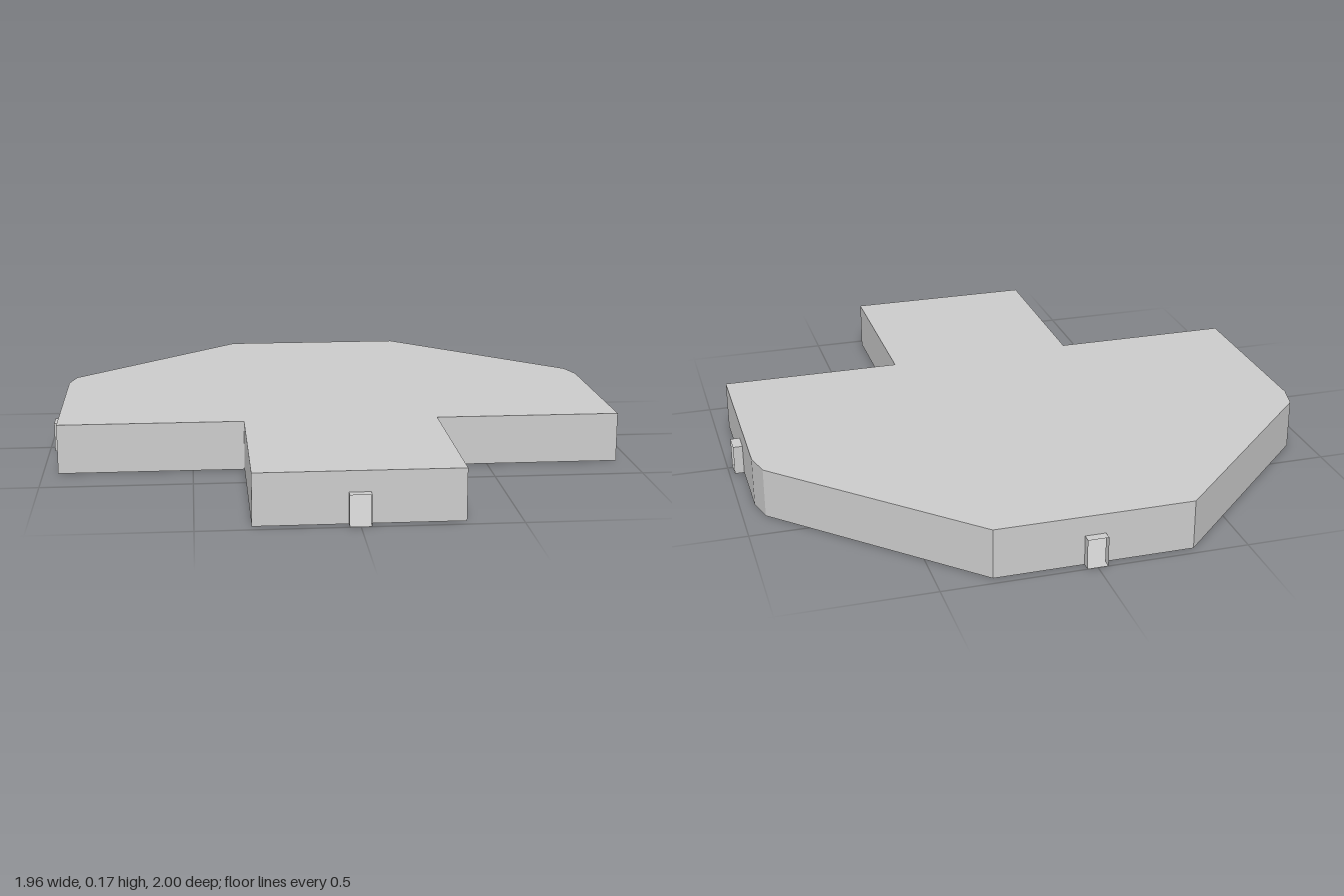
import * as THREE from 'three';

const HEIGHT = 0.167, PORT_W = 0.068, PORT_H = 0.1;

// Outline as [x, z], running so that every wall faces outward
const OUTLINE = [
  [-0.327, 0.967], [0.327, 0.967], [0.327, 0.34], [0.95, 0.34],
  [0.95, -0.29], [0.927, -0.38], [0.327, -0.97], [-0.327, -0.97],
  [-0.927, -0.38], [-0.95, -0.29], [-0.95, 0.34], [-0.327, 0.34],
].map(([x, z]) => new THREE.Vector2(x, z));

// Doorways: wall index, centre [x, z] and how far the collar sticks out
const PORTS = {
  0: { name: 'frontPort', at: [0, 0.967], depth: 0.033 },
  3: { name: 'leftPort', at: [0.95, -0.016], depth: 0.032 },
  6: { name: 'backPort', at: [0, -0.97], depth: 0.03 },
  9: { name: 'rightPort', at: [-0.95, 0.016], depth: 0.032 },
};

export function createModel() {
  const model = new THREE.Group();
  model.name = 'hollowRoom';
  const material = new THREE.MeshStandardMaterial({
    color: 0xcccccc, flatShading: true, side: THREE.DoubleSide,
  });
  const add = (parent, name, geometry) => {
    const mesh = new THREE.Mesh(geometry, material);
    mesh.name = name;
    parent.add(mesh);
    return mesh;
  };

  // Floor faces down, roof faces up
  const floorShape = new THREE.Shape(OUTLINE);
  add(model, 'floor', new THREE.ShapeGeometry(floorShape).rotateX(Math.PI / 2));
  const roofShape = new THREE.Shape(OUTLINE.map((p) => new THREE.Vector2(p.x, -p.y)));
  add(model, 'roof', new THREE.ShapeGeometry(roofShape).rotateX(-Math.PI / 2)).position.y = HEIGHT;

  // One thin wall per outline edge, with a doorway where there is a port
  OUTLINE.forEach((a, i) => {
    const b = OUTLINE[(i + 1) % OUTLINE.length];
    const along = b.clone().sub(a);
    const length = along.length();
    along.normalize();

    const side = new THREE.Group();
    side.name = 'side' + (i + 1);
    side.position.set(a.x, 0, a.y);
    side.rotation.y = Math.atan2(-along.y, along.x);
    model.add(side);

    const wall = new THREE.Shape().moveTo(0, 0);
    const port = PORTS[i];
    if (port) {
      const s = new THREE.Vector2(...port.at).sub(a).dot(along);
      const s0 = s - PORT_W / 2, s1 = s + PORT_W / 2;
      wall.lineTo(s0, 0).lineTo(s0, PORT_H).lineTo(s1, PORT_H).lineTo(s1, 0);

      // Collar: a box without its two end faces
      const collar = new THREE.BoxGeometry(PORT_W, PORT_H, port.depth);
      collar.setIndex(Array.from(collar.index.array).slice(0, 24));
      add(side, port.name, collar).position.set(s, PORT_H / 2, port.depth / 2);
    }
    wall.lineTo(length, 0).lineTo(length, HEIGHT).lineTo(0, HEIGHT);
    add(side, 'wall', new THREE.ShapeGeometry(wall));
  });

  return model;
}
